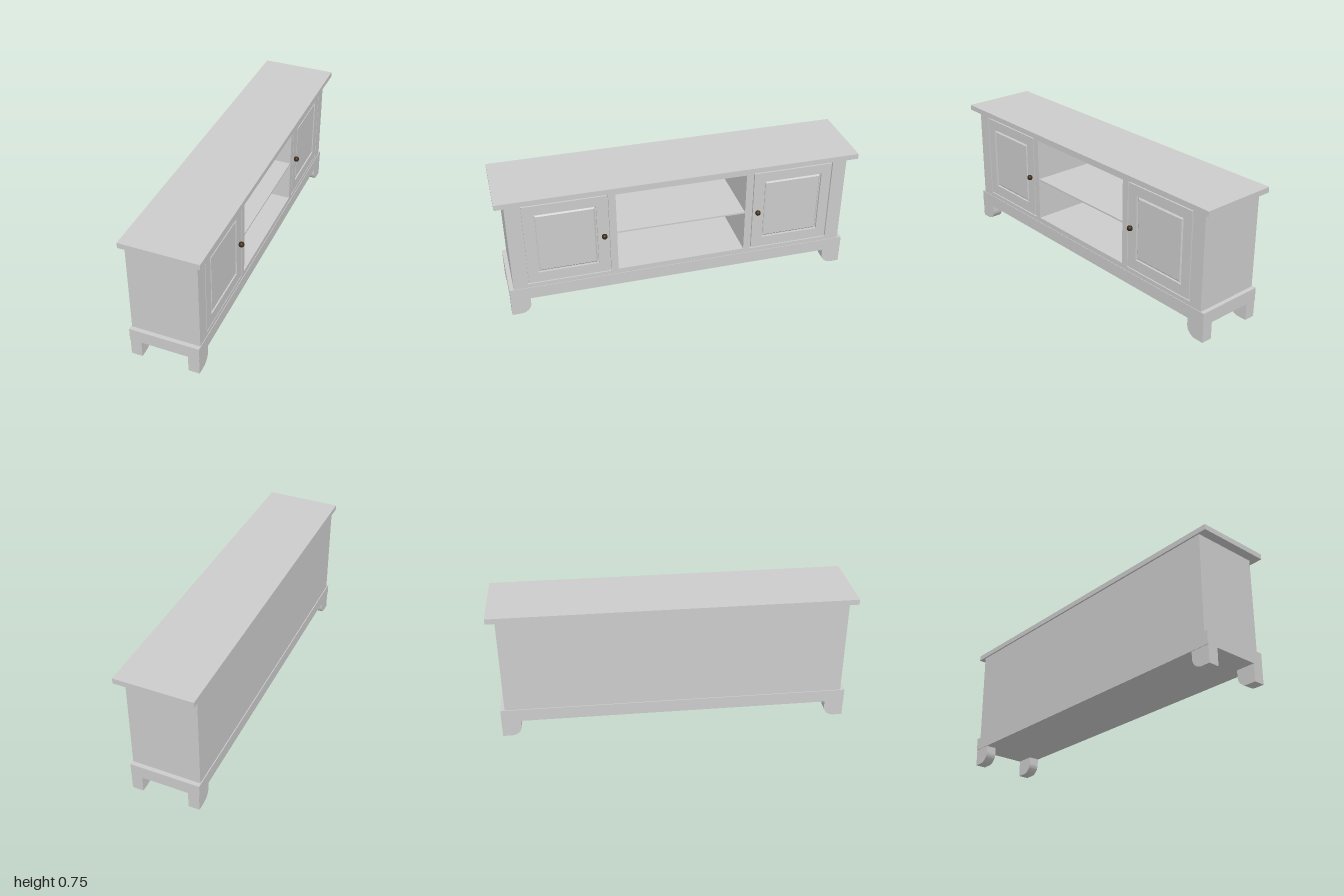
import * as THREE from 'three';

const grey = new THREE.MeshStandardMaterial({ color: 0xcccccc });
const brown = new THREE.MeshStandardMaterial({ color: 0x3a2814 });

// Box given by its min and max along each axis
function box(name, x0, x1, y0, y1, z0, z1) {
  const mesh = new THREE.Mesh(new THREE.BoxGeometry(x1 - x0, y1 - y0, z1 - z0), grey);
  mesh.position.set((x0 + x1) / 2, (y0 + y1) / 2, (z0 + z1) / 2);
  mesh.name = name;
  return mesh;
}

// Rectangle outline in the (-z, y) plane
function rect(u0, u1, y0, y1, Type = THREE.Shape) {
  const r = new Type();
  r.moveTo(u0, y0);
  r.lineTo(u1, y0);
  r.lineTo(u1, y1);
  r.lineTo(u0, y1);
  r.closePath();
  return r;
}

// Extrude a (-z, y) outline along x from x0 to x1
function slab(name, shape, x0, x1) {
  const geo = new THREE.ExtrudeGeometry(shape, { depth: x1 - x0, bevelEnabled: false, curveSegments: 10 });
  geo.rotateY(Math.PI / 2);
  geo.translate(x0, 0, 0);
  const mesh = new THREE.Mesh(geo, grey);
  mesh.name = name;
  return mesh;
}

const FRONT = 0.177, BACK = -0.205;

// Framed door with a raised centre panel and a round knob
function door(side) {
  const g = new THREE.Group();
  g.name = side > 0 ? 'leftDoor' : 'rightDoor';
  const span = (a, b) => (side > 0 ? [-b, -a] : [a, b]);
  const frame = rect(...span(0.411, 0.864), 0.2, 0.69);
  frame.holes.push(rect(...span(0.472, 0.807), 0.262, 0.633, THREE.Path));
  g.add(slab('doorFrame', frame, FRONT - 0.02, FRONT));

  const [u0, u1] = span(0.486, 0.793);
  const panelGeo = new THREE.ExtrudeGeometry(rect(u0, u1, 0.276, 0.619), {
    depth: 0.004, bevelThickness: 0.006, bevelSize: 0.007, bevelSegments: 1,
  });
  panelGeo.rotateY(Math.PI / 2);
  panelGeo.translate(FRONT - 0.012, 0, 0);
  const panel = new THREE.Mesh(panelGeo, grey);
  panel.name = 'doorPanel';
  g.add(panel);

  const knob = new THREE.Mesh(new THREE.SphereGeometry(0.0155, 24, 16), brown);
  knob.position.set(0.19, 0.441, side * 0.437);
  knob.name = 'knob';
  g.add(knob);
  return g;
}

// Bracket foot, rounded at its inner lower corner
function foot(side, x0, x1) {
  const s = new THREE.Shape();
  s.moveTo(side * 0.974, 0.1);
  s.lineTo(side * 0.974, 0);
  s.lineTo(side * 0.925, 0);
  s.bezierCurveTo(side * 0.892, 0, side * 0.865, 0.027, side * 0.865, 0.06);
  s.lineTo(side * 0.865, 0.1);
  s.closePath();
  return slab('foot', s, x0, x1);
}

export function createModel() {
  const model = new THREE.Group();
  model.name = 'mediaCabinet';

  // Top and plinth
  model.add(box('top', -0.214, 0.214, 0.72, 0.75, -1, 1));
  model.add(box('plinth', -0.21, 0.18, 0.097, 0.17, -0.974, 0.974));

  // Carcass
  model.add(box('backPanel', BACK, BACK + 0.01, 0.17, 0.72, -0.95, 0.95));
  model.add(box('floor', BACK + 0.01, FRONT - 0.02, 0.17, 0.2, -0.93, 0.93));
  model.add(box('ceiling', BACK + 0.01, FRONT - 0.02, 0.69, 0.72, -0.93, 0.93));
  model.add(box('shelf', BACK + 0.01, FRONT - 0.002, 0.441, 0.45, -0.365, 0.365));

  // Face frame with an open centre and two door openings
  const face = rect(-0.95, 0.95, 0.17, 0.72);
  for (const [a, b, y0, y1] of [[-0.365, 0.365, 0.2, 0.69], [0.405, 0.87, 0.194, 0.696], [-0.87, -0.405, 0.194, 0.696]]) {
    face.holes.push(rect(a, b, y0, y1, THREE.Path));
  }
  model.add(slab('faceFrame', face, FRONT - 0.02, FRONT));

  // Mirrored parts
  for (const side of [1, -1]) {
    const z = (a, b) => (side > 0 ? [a, b] : [-b, -a]);
    model.add(box('sidePanel', BACK + 0.01, FRONT - 0.02, 0.17, 0.72, ...z(0.93, 0.95)));
    model.add(box('divider', BACK + 0.01, FRONT - 0.02, 0.2, 0.69, ...z(0.365, 0.405)));
    model.add(box('doorBacking', FRONT - 0.03, FRONT - 0.012, 0.19, 0.7, ...z(0.4, 0.875)));
    model.add(door(side));
    model.add(foot(side, 0.117, 0.179));
    model.add(foot(side, -0.207, -0.145));
  }
  return model;
}
